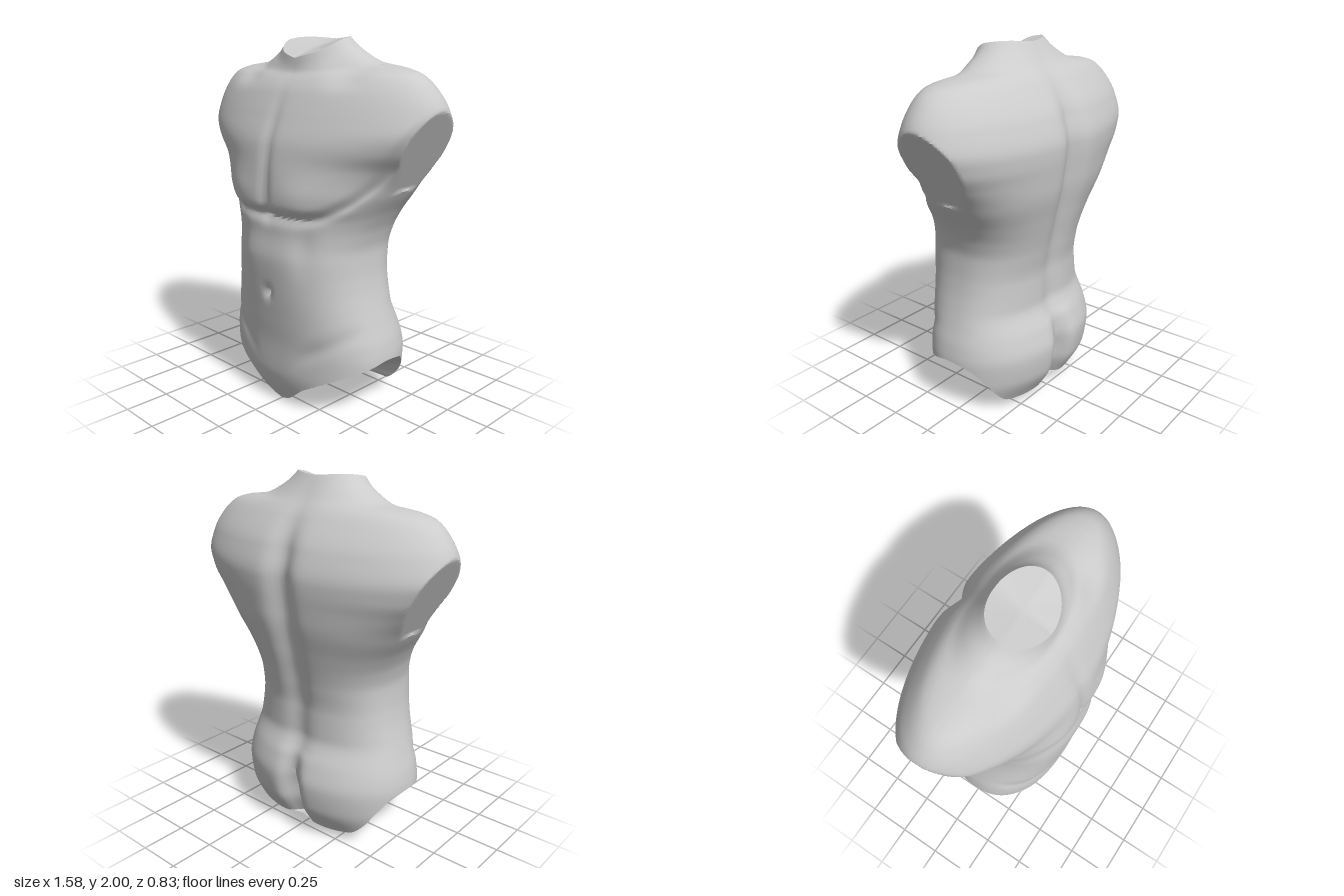
import * as THREE from 'three';
import { toCreasedNormals } from 'three/addons/utils/BufferGeometryUtils.js';

const COLS = 180, RINGS = 130;

// Monotone smooth curve through [position, value] pairs
function curve(pts) {
  const n = pts.length;
  const slope = (i) => (pts[i + 1][1] - pts[i][1]) / (pts[i + 1][0] - pts[i][0]);
  const tangent = (i) => {
    if (i === 0) return slope(0);
    if (i === n - 1) return slope(n - 2);
    const a = slope(i - 1), b = slope(i);
    return a * b <= 0 ? 0 : (2 * a * b) / (a + b);
  };
  return (v) => {
    if (v <= pts[0][0]) return pts[0][1];
    if (v >= pts[n - 1][0]) return pts[n - 1][1];
    let i = 0;
    while (v > pts[i + 1][0]) i++;
    const h = pts[i + 1][0] - pts[i][0], t = (v - pts[i][0]) / h, t2 = t * t, t3 = t2 * t;
    return pts[i][1] * (2 * t3 - 3 * t2 + 1) + pts[i + 1][1] * (3 * t2 - 2 * t3)
      + h * (tangent(i) * (t3 - 2 * t2 + t) + tangent(i + 1) * (t3 - t2));
  };
}

// Body profile by height
const halfWidth = curve([[0, 0.53], [0.31, 0.543], [0.4, 0.53], [0.5, 0.5], [0.6, 0.47], [0.7, 0.445],
  [0.8, 0.43], [0.9, 0.425], [1, 0.445], [1.1, 0.49], [1.2, 0.555], [1.27, 0.6], [1.35, 0.67],
  [1.45, 0.77], [1.55, 0.815], [1.65, 0.79], [1.75, 0.73], [1.82, 0.65], [1.85, 0.55], [1.87, 0.41],
  [1.92, 0.3], [1.96, 0.24], [2, 0.2]]);
const frontZ = curve([[0, 0.3], [0.1, 0.34], [0.2, 0.36], [0.35, 0.365], [0.5, 0.38], [0.7, 0.4],
  [0.85, 0.41], [1, 0.392], [1.08, 0.39], [1.15, 0.41], [1.3, 0.405], [1.45, 0.385], [1.6, 0.33],
  [1.7, 0.285], [1.8, 0.235], [1.9, 0.195], [2, 0.18]]);
const backZ = curve([[0, -0.24], [0.05, -0.27], [0.2, -0.35], [0.33, -0.365], [0.45, -0.335], [0.6, -0.275],
  [0.75, -0.275], [0.9, -0.3], [1.1, -0.35], [1.3, -0.4], [1.5, -0.42], [1.65, -0.38],
  [1.8, -0.285], [1.9, -0.2], [2, -0.13]]);
const sideZ = curve([[0, 0.04], [0.5, 0.03], [0.9, 0.03], [1.2, -0.04], [1.35, -0.08], [1.5, -0.05], [1.75, -0.03], [2, 0.02]]);
const squareness = curve([[0, 2.2], [0.5, 2.3], [0.9, 2.4], [1.2, 2.3], [1.4, 2], [2, 2]]);

// Leg cut height and neck cut drop by angle (0 = front, 180 = back)
const legCut = curve([[0, 0], [5, 0.02], [22, 0.14], [48, 0.24], [75, 0.3], [90, 0.32], [105, 0.3],
  [120, 0.22], [130, 0.14], [145, 0.06], [160, 0.05], [180, 0.07]]);
const neckDrop = curve([[0, 0.11], [45, 0.07], [90, 0.012], [130, 0], [180, 0.01]]);
// Groove down the middle of the back: deep cleft below, spine above
const spineDepth = curve([[0, 0.07], [0.25, 0.085], [0.5, 0.03], [0.7, 0.025], [1, 0.04], [1.35, 0.06], [1.6, 0.05], [1.85, 0.01], [2, 0]]);
const sternumDepth = curve([[1.02, 0], [1.15, 0.018], [1.5, 0.014], [1.8, 0]]);

const bump = (d, s) => Math.exp(-((d / s) ** 2));

function skinPoint(col, t) {
  const a = (col / COLS) * Math.PI * 2;
  const s = Math.sin(a), c = Math.cos(a);
  const deg = THREE.MathUtils.radToDeg(Math.acos(THREE.MathUtils.clamp(c, -1, 1)));
  const low = legCut(deg);
  const h = low + (2 - low) * (1 - (1 - t) ** 1.4);
  const y = h - neckDrop(deg) * THREE.MathUtils.smoothstep(h, 1.72, 2);

  // Rounded section
  const p = 2 / squareness(h), zc = sideZ(h);
  let ax = halfWidth(h) * Math.abs(s) ** p;
  let z = zc + ((c > 0 ? frontZ(h) : backZ(h)) - zc) * Math.abs(c) ** p;

  if (c > 0) {
    const face = THREE.MathUtils.smoothstep(c, 0.1, 0.6);
    // Chest crease, sternum, navel, rib hollows and groin lines
    const crease = 1.09 + 1.6 * Math.max(0, ax - 0.2) ** 2;
    z -= 0.022 * face * bump(y - crease, 0.03);
    z += 0.014 * face * bump(y - crease - 0.11, 0.1) * bump(ax - 0.2, 0.14);
    z -= sternumDepth(y) * bump(ax, 0.035);
    z -= 0.028 * bump(ax, 0.024) * bump(y - 0.66, 0.035);
    z -= 0.012 * bump(ax - 0.24, 0.06) * bump(y - 0.92, 0.12);
    z -= 0.012 * face * bump(y - 0.2 - 0.6 * ax, 0.05) * THREE.MathUtils.smoothstep(ax, 0.1, 0.3);
    // Hollow above the collar bones
    z -= 0.03 * bump(ax - 0.36, 0.1) * bump(y - 1.81, 0.05);
  } else {
    z += spineDepth(h) * bump(ax, h < 0.5 ? 0.06 : 0.075);
  }

  // Slanted arm cuts
  if (y > 1.24 && y < 1.65) ax = Math.min(ax, 0.79 - (1.65 - y) * 0.54);
  return new THREE.Vector3(s < 0 ? -ax : ax, y, z);
}

// Closed rings stacked from bottom to top
function sheet(name, rows, point, crease) {
  const pos = [], index = [];
  for (let i = 0; i <= rows; i++)
    for (let j = 0; j < COLS; j++) pos.push(...point(j, i / rows).toArray());
  for (let i = 0; i < rows; i++)
    for (let j = 0; j < COLS; j++) {
      const k = (j + 1) % COLS, a = i * COLS + j, b = i * COLS + k;
      index.push(a, b, b + COLS, a, b + COLS, a + COLS);
    }
  const geo = new THREE.BufferGeometry();
  geo.setAttribute('position', new THREE.Float32BufferAttribute(pos, 3));
  geo.setIndex(index);
  const mesh = new THREE.Mesh(toCreasedNormals(geo, crease),
    new THREE.MeshStandardMaterial({ color: 0xcccccc, side: THREE.DoubleSide }));
  mesh.name = name;
  return mesh;
}

export function createModel() {
  const group = new THREE.Group();
  group.name = 'torso';

  group.add(sheet('body', RINGS, skinPoint, 0.7));

  // Neck cut closes toward its centre
  const neckCentre = new THREE.Vector3(0, 1.945, 0.02);
  group.add(sheet('neckCut', 4, (j, t) => skinPoint(j, 1).lerp(neckCentre, t), 0.7));

  // Leg cuts run from the hip edges in to the strip between the legs
  group.add(sheet('legCuts', 6, (j, t) => {
    const edge = skinPoint(j, 0);
    const z = edge.z * 0.9;
    const middle = new THREE.Vector3(0, 0.003 + 0.06 * THREE.MathUtils.smoothstep(-z, -0.12, 0.22), z);
    return middle.lerp(edge, t);
  }, 0.5));

  return group;
}
